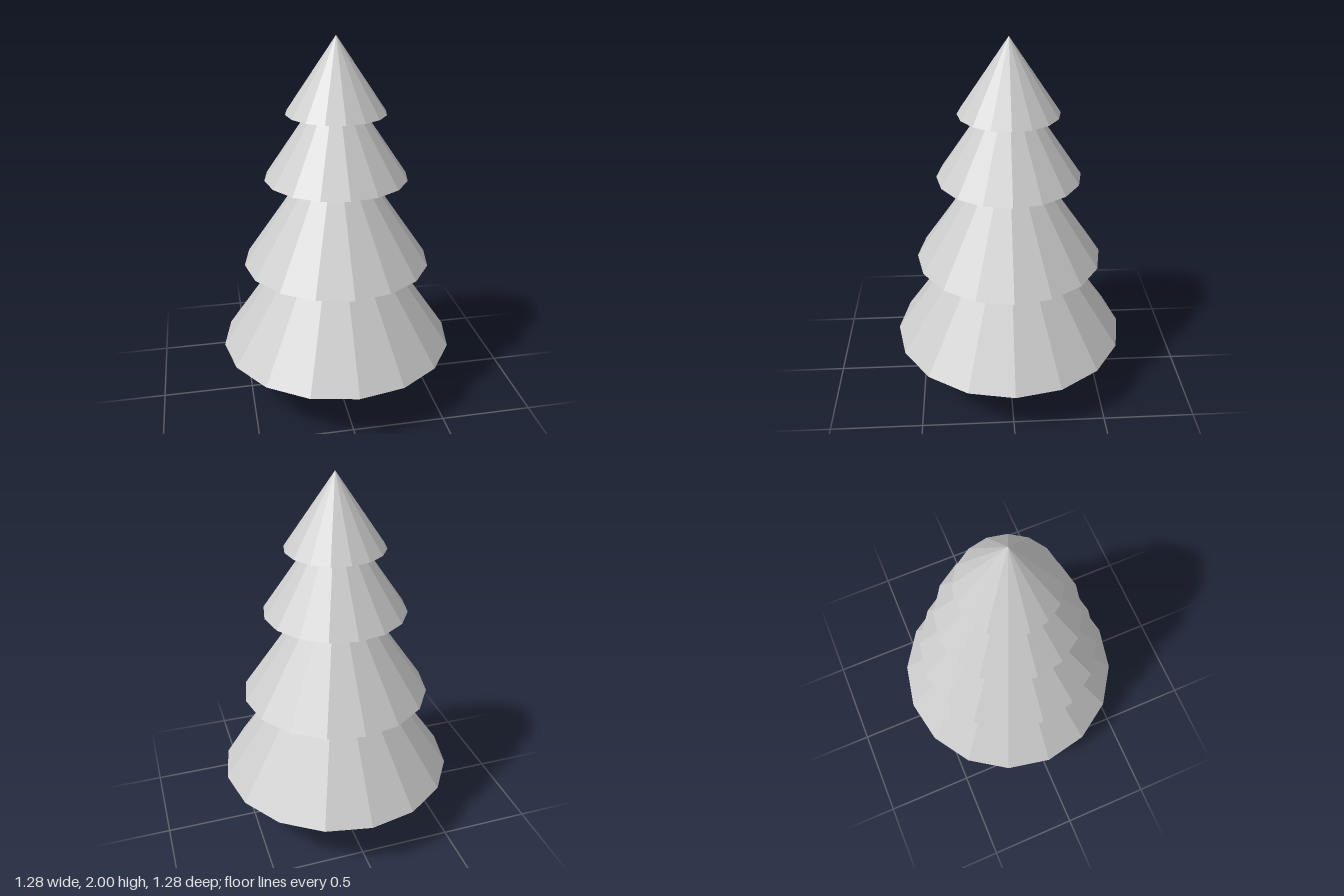
import * as THREE from 'three';

export function createModel() {
  const tree = new THREE.Group();
  tree.name = 'pineTree';
  const material = new THREE.MeshStandardMaterial({ color: 0xcccccc, flatShading: true });
  const SIDES = 16;

  function add(name, geometry, baseY, height) {
    const mesh = new THREE.Mesh(geometry, material);
    mesh.name = name;
    mesh.position.y = baseY + height / 2;
    tree.add(mesh);
  }

  // Tapered trunk, ending just inside the lowest tier
  const trunkHeight = 0.32;
  add('trunk', new THREE.CylinderGeometry(0.13, 0.163, trunkHeight, SIDES), 0, trunkHeight);

  // Stacked foliage cones: base radius, base height, apex height
  const tiers = [
    [0.64, 0.30, 1.24],
    [0.505, 0.787, 1.53],
    [0.381, 1.265, 1.83],
    [0.263, 1.61, 2.0],
  ];
  tiers.forEach(([radius, base, apex], i) => {
    const height = apex - base;
    add(`foliageTier${i + 1}`, new THREE.ConeGeometry(radius, height, SIDES), base, height);
  });

  return tree;
}
